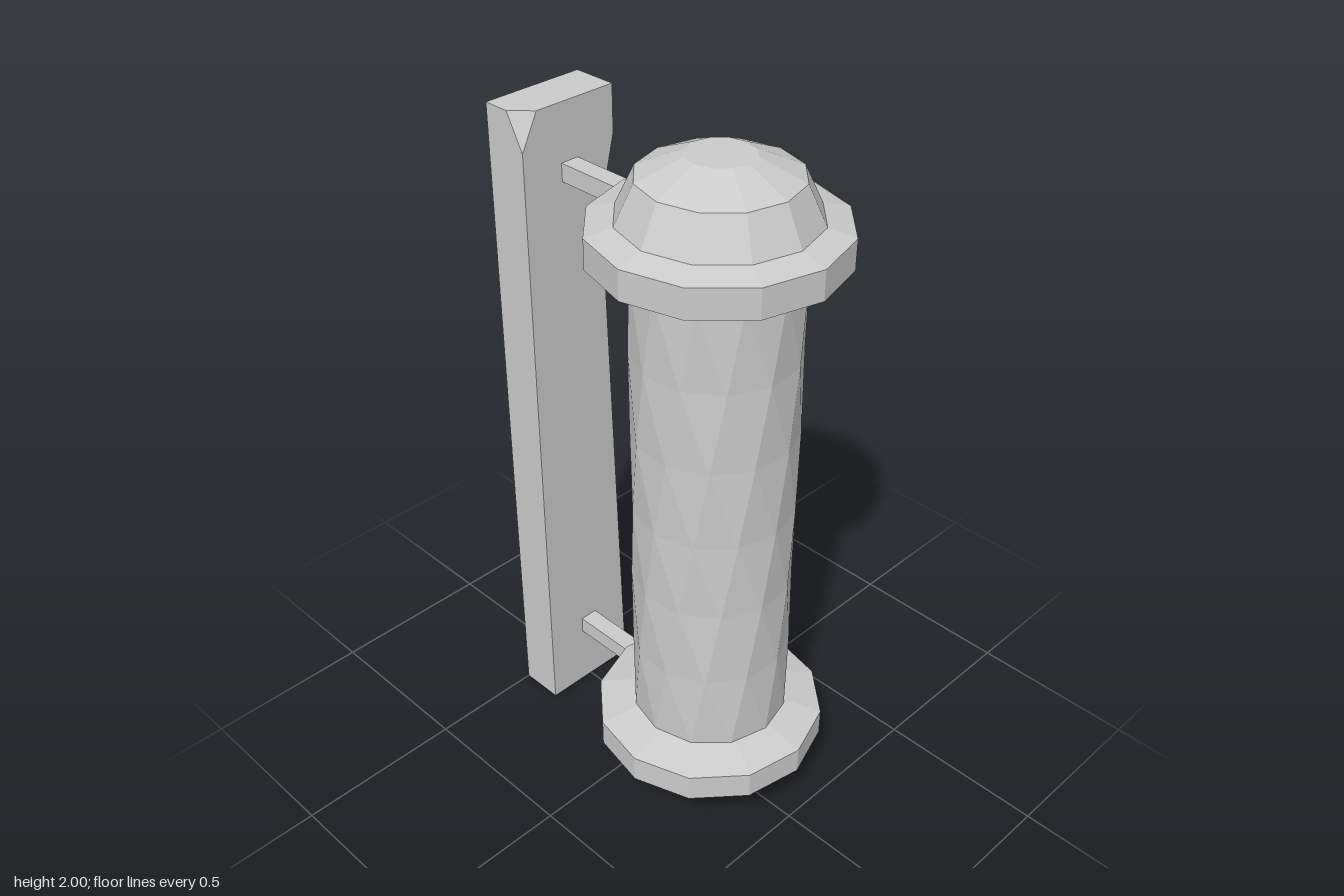
import * as THREE from 'three';

const POLE_Z = 0.167, SIDES = 12;

export function createModel() {
  const group = new THREE.Group();
  const material = new THREE.MeshStandardMaterial({ color: 0xcccccc, flatShading: true });
  const add = (name, geometry, x = 0, y = 0, z = 0) => {
    const mesh = new THREE.Mesh(geometry, material);
    mesh.name = name;
    mesh.position.set(x, y, z);
    group.add(mesh);
    return mesh;
  };
  const lathe = (points) =>
    new THREE.LatheGeometry(points.map(([r, y]) => new THREE.Vector2(r, y)), SIDES);

  // Twisted pole: each band turns a little further than the one below
  const bands = 6, y0 = 0.29, y1 = 1.71, r = 0.225;
  const poleGeo = lathe(Array.from({ length: bands + 1 }, (_, i) => [r, y0 + (y1 - y0) * i / bands]));
  const pos = poleGeo.attributes.position;
  const v = new THREE.Vector3(), up = new THREE.Vector3(0, 1, 0);
  for (let i = 0; i < pos.count; i++) {
    v.fromBufferAttribute(pos, i);
    v.applyAxisAngle(up, (Math.PI / 3) * (v.y - y0) / (y1 - y0));
    pos.setXYZ(i, v.x, v.y, v.z);
  }
  poleGeo.computeVertexNormals();
  add('twistedPole', poleGeo, 0, 0, POLE_Z);

  // Collar with domed cap, mirrored for the bottom end
  const capProfile = [
    [0, 1.71], [0.225, 1.71], [0.333, 1.74], [0.333, 1.823],
    [0.26, 1.842], [0.21, 1.947], [0.09, 2], [0, 2],
  ];
  add('topCap', lathe(capProfile), 0, 0, POLE_Z);
  const bottom = add('bottomCap', lathe(capProfile.map(([a, y]) => [a, 2 - y]).reverse()), 0, 0, POLE_Z);
  bottom.rotation.y = THREE.MathUtils.degToRad(4);

  // Brackets joining the collars to the board
  for (const [name, y] of [['upperBracket', 1.785], ['lowerBracket', 0.225]]) {
    add(name, new THREE.BoxGeometry(0.056, 0.052, 0.25), 0, y, -0.265);
  }

  add('backBoard', boardGeometry());
  return group;
}

// Wall board: stacked sections whose two front corners are chipped by varying amounts
function boardGeometry() {
  const w = 0.155, front = -0.367, back = -0.5;
  // [height, left chip, right chip]
  const levels = [[0, 0, 0], [1.64, 1, 0], [1.84, 0, 0], [1.875, 0, 0], [1.975, 0, 1]];
  const sections = levels.map(([y, l, rt]) => [
    [-w, y, front - 0.054 * rt], [-w + 0.052 * rt, y, front],
    [w - 0.05 * l, y, front], [w, y, front - 0.058 * l],
    [w, y, back], [-w, y, back],
  ]);
  const out = [];
  const n = sections[0].length;
  for (let s = 0; s < sections.length - 1; s++) {
    const a = sections[s], b = sections[s + 1];
    for (let i = 0; i < n; i++) {
      const j = (i + 1) % n;
      out.push(...a[i], ...a[j], ...b[j], ...a[i], ...b[j], ...b[i]);
    }
  }
  // End faces
  const lo = sections[0], hi = sections[sections.length - 1];
  for (let i = 1; i < n - 1; i++) {
    out.push(...hi[0], ...hi[i], ...hi[i + 1], ...lo[0], ...lo[i + 1], ...lo[i]);
  }
  const geo = new THREE.BufferGeometry();
  geo.setAttribute('position', new THREE.Float32BufferAttribute(out, 3));
  geo.computeVertexNormals();
  return geo;
}
